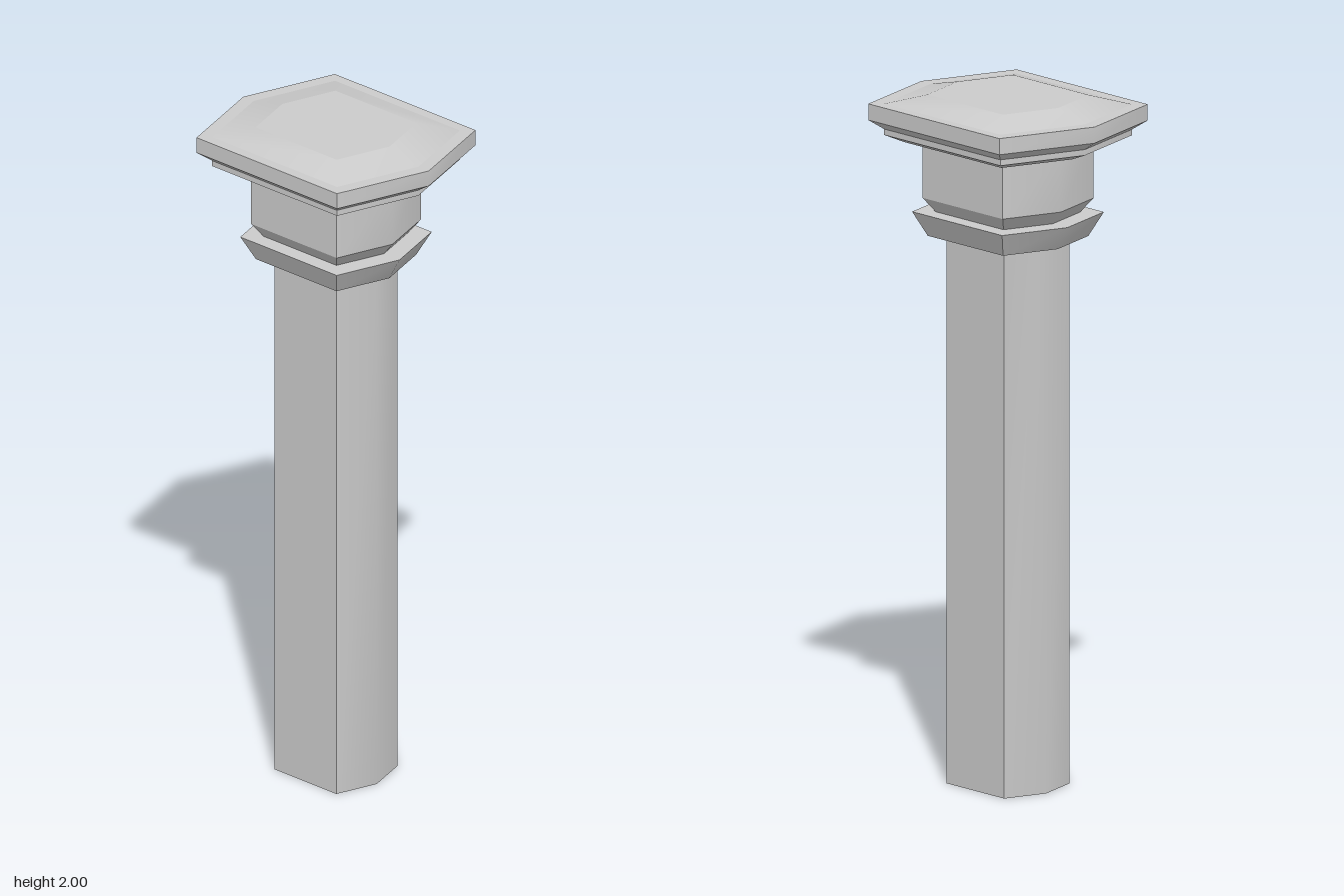
import * as THREE from 'three';
import { mergeGeometries, toCreasedNormals } from 'three/addons/utils/BufferGeometryUtils.js';

// Stretched hexagon of unit half-width, points on the x axis, flat sides on z
const HEX = [[1, 0], [0.757, -0.8], [-0.757, -0.8], [-1, 0], [-0.757, 0.8], [0.757, 0.8]];

const ring = ([r, y]) => HEX.map(([x, z]) => [x * r, y, z * r]);

// One band of faces between two rings; soft over blunt corners, sharp over the others
function band(low, high) {
  const pos = [];
  for (let i = 0; i < 6; i++) {
    const j = (i + 1) % 6;
    pos.push(...low[i], ...low[j], ...high[j], ...low[i], ...high[j], ...high[i]);
  }
  const geo = new THREE.BufferGeometry();
  geo.setAttribute('position', new THREE.Float32BufferAttribute(pos, 3));
  return toCreasedNormals(geo, 0.7);
}

// Stack of bands along a profile of [half-width, height], bottom to top
function stack(rings) {
  return mergeGeometries(rings.slice(1).map((r, i) => band(rings[i], r)));
}

export function createModel() {
  const group = new THREE.Group();
  const material = new THREE.MeshStandardMaterial({ color: 0xcccccc });
  const thin = new THREE.MeshStandardMaterial({ color: 0xcccccc, side: THREE.DoubleSide });
  const add = (name, geo, mat = material) => {
    const mesh = new THREE.Mesh(geo, mat);
    mesh.name = name;
    group.add(mesh);
  };

  // Open-bottomed shaft; its right-hand ridge fades out towards the top
  const foot = ring([0.157, 0]);
  const head = ring([0.157, 1.6]);
  head[3][0] = -0.122;
  add('shaft', stack([foot, head]), thin);

  // Flared collar around the top of the shaft
  add('collar', stack([[0.12, 1.59], [0.205, 1.59], [0.245, 1.66], [0.17, 1.66]].map(ring)), thin);

  // Neck with a chamfered lower edge
  add('neck', stack([[0.185, 1.66], [0.218, 1.7], [0.218, 1.87]].map(ring)));

  // Stepped cap with a raised centre
  add('cap', stack([
    [0.2, 1.862], [0.265, 1.862], [0.317, 1.883], [0.317, 1.9], [0.357, 1.926],
    [0.357, 1.973], [0.317, 1.973], [0.206, 2], [0.0001, 2],
  ].map(ring)));

  return group;
}
